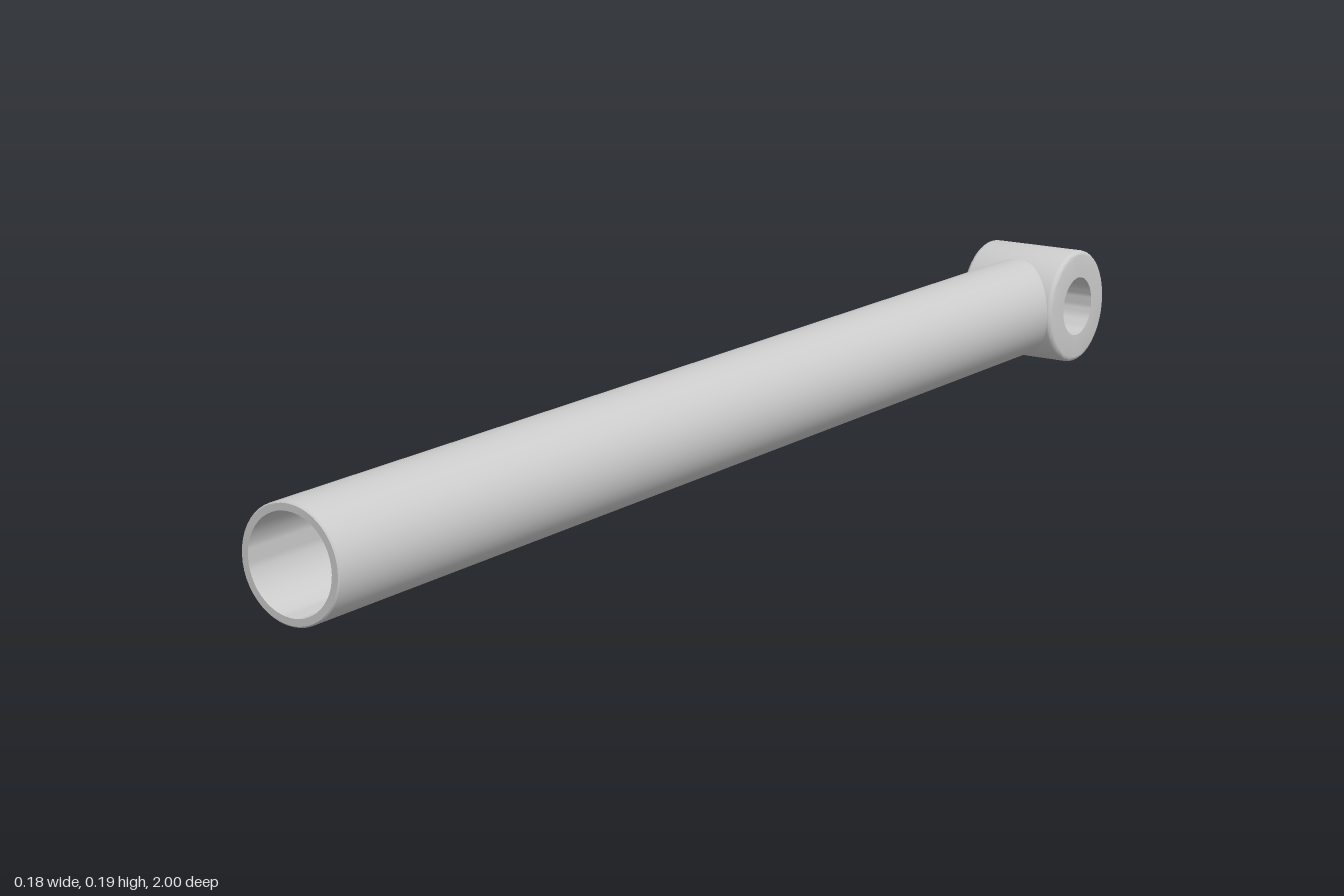
import * as THREE from 'three';
import { toCreasedNormals } from 'three/addons/utils/BufferGeometryUtils.js';

const EYE = { y: 0.0965, z: -0.904, r: 0.096, bore: 0.05, half: 0.088 };

// Revolve a list of [radius, height] pairs
const revolve = (pts) =>
  new THREE.LatheGeometry(pts.map(([r, h]) => new THREE.Vector2(r, h)), 48);

export function createModel() {
  const group = new THREE.Group();
  const material = new THREE.MeshStandardMaterial({ color: 0xcccccc });

  const add = (name, geometry, y, z) => {
    const mesh = new THREE.Mesh(toCreasedNormals(geometry, 0.5), material);
    mesh.name = name;
    mesh.position.set(0, y, z);
    group.add(mesh);
  };

  // Hollow tube: outer wall, chamfered rim, deep socket and its floor
  const tube = revolve([
    [0.082, -0.85], [0.082, 0.998], [0.08, 1],
    [0.07, 1], [0.07, -0.79], [0, -0.79],
  ]).rotateX(Math.PI / 2);

  // Saddle cut: the rear ring follows the round of the eye, just under its surface
  const p = tube.attributes.position;
  for (let i = 0; i < p.count; i++) {
    if (p.getZ(i) < -0.84) p.setZ(i, EYE.z + Math.sqrt(0.092 ** 2 - p.getY(i) ** 2));
  }
  add('tube', tube, 0.0955, 0);

  // Cross eye with rounded outer edges and a through bore
  const { r, bore, half } = EYE;
  const round = 0.008;
  const profile = [[bore, -half]];
  for (const side of [-1, 1]) {
    for (let i = 0; i <= 4; i++) {
      const a = ((side < 0 ? i - 4 : i) / 4) * (Math.PI / 2);
      profile.push([
        r - round + round * Math.cos(a),
        side * (half - round) + round * Math.sin(a),
      ]);
    }
  }
  profile.push([bore, half], [bore, -half]);
  add('crossEye', revolve(profile).rotateZ(-Math.PI / 2), EYE.y, EYE.z);

  return group;
}
